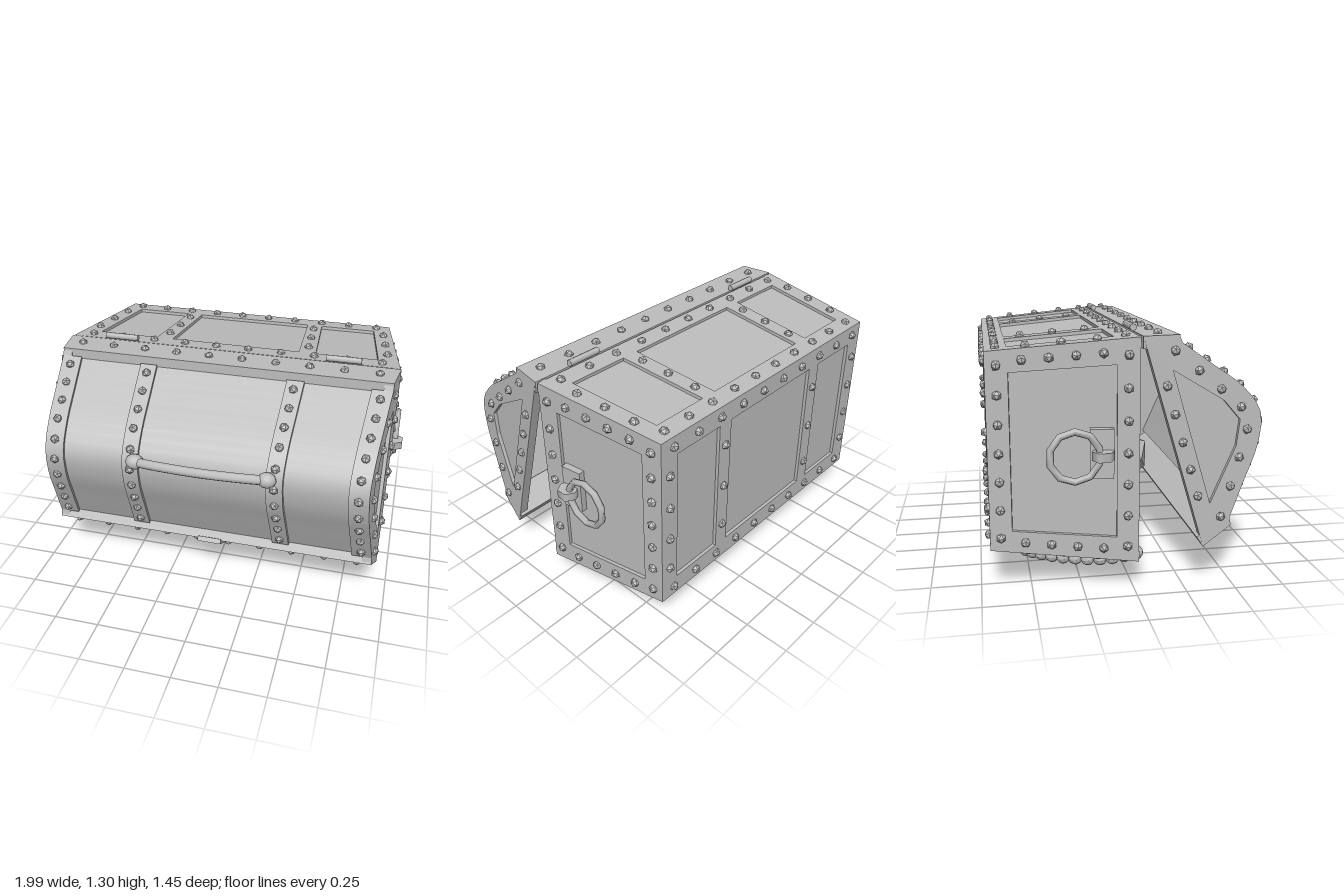
import * as THREE from 'three';
import { mergeGeometries } from 'three/addons/utils/BufferGeometryUtils.js';

const grey = new THREE.MeshStandardMaterial({ color: 0xbdbdbd });
grey.name = 'grey';
const V = (x, y, z) => new THREE.Vector3(x, y, z);

function add(parent, name, geometry, x = 0, y = 0, z = 0) {
  const m = new THREE.Mesh(geometry, grey);
  m.name = name;
  m.position.set(x, y, z);
  parent.add(m);
  return m;
}

// Move every vertex of a geometry through a rule (u, v, w) -> point
function warp(geometry, rule) {
  const p = geometry.attributes.position;
  for (let i = 0; i < p.count; i++) {
    const q = rule(p.getX(i), p.getY(i), p.getZ(i));
    p.setXYZ(i, q.x, q.y, q.z);
  }
  geometry.computeVertexNormals();
  return geometry;
}

// Slab over a rectangle of a (u, v) surface, between two depths along its normal
function slab(map, u0, u1, v0, v1, w0, w1, segments = 1) {
  const g = new THREE.BoxGeometry(u1 - u0, v1 - v0, w1 - w0, 1, segments, 1);
  g.translate((u0 + u1) / 2, (v0 + v1) / 2, (w0 + w1) / 2);
  return warp(g, map);
}

// Flat four-cornered surface: u runs a to b, v runs a to d
function quadMap(a, b, c, d) {
  const n = b.clone().sub(a).cross(d.clone().sub(a)).normalize();
  return (u, v, w) => a.clone().lerp(b, u).lerp(d.clone().lerp(c, u), v).addScaledVector(n, w);
}

// Evenly spaced rivets along lines [u0, v0, u1, v1, count]
function rivets(map, lines) {
  const list = [];
  for (const [u0, v0, u1, v1, n] of lines)
    for (let i = 0; i < n; i++) {
      const t = (i + 0.5) / n;
      const p = map(u0 + (u1 - u0) * t, v0 + (v1 - v0) * t, 0.002);
      list.push(new THREE.IcosahedronGeometry(0.025, 0).rotateY(i * 1.3).translate(p.x, p.y, p.z));
    }
  return mergeGeometries(list);
}

// Framed wall: recessed panel, border strips, optional straps, rivets
function wall(parent, name, map, bu, bv, straps, nu, nv) {
  const g = new THREE.Group();
  g.name = name;
  parent.add(g);
  add(g, 'panel', slab(map, 0.03, 0.97, 0.03, 0.97, -0.06, -0.018));
  const parts = [
    slab(map, 0, 1, 0, bv, -0.05, 0), slab(map, 0, 1, 1 - bv, 1, -0.05, 0),
    slab(map, 0, bu, bv, 1 - bv, -0.05, 0), slab(map, 1 - bu, 1, bv, 1 - bv, -0.05, 0),
  ];
  const a = bu / 2, b = bv / 2;
  const lines = [[0, b, 1, b, nu], [0, 1 - b, 1, 1 - b, nu], [a, bv, a, 1 - bv, nv], [1 - a, bv, 1 - a, 1 - bv, nv]];
  for (const s of straps) {
    parts.push(slab(map, s - 0.026, s + 0.026, bv, 1 - bv, -0.05, 0));
    lines.push([s, bv, s, 1 - bv, 3]);
  }
  add(g, 'frame', mergeGeometries(parts));
  add(g, 'rivets', rivets(map, lines));
  return g;
}

// Tapered body, modelled upright with its rim at y = 0
function makeBody() {
  const body = new THREE.Group();
  body.name = 'body';
  const H = -0.72, bx = 0.83, bz = 0.49, tx = 0.93, tz = 0.555;
  const straps = [0.5 - 0.227, 0.5 + 0.227];
  const long = quadMap(V(-bx, H, bz), V(bx, H, bz), V(tx, 0, tz), V(-tx, 0, tz));
  const side = quadMap(V(bx, H, bz), V(bx, H, -bz), V(tx, 0, -tz), V(tx, 0, tz));
  const base = quadMap(V(-bx, H, -bz), V(bx, H, -bz), V(bx, H, bz), V(-bx, H, bz));
  for (const r of [0, Math.PI]) {
    wall(body, 'longWall', long, 0.06, 0.15, straps, 10, 3).rotation.y = r;
    const end = wall(body, 'endWall', side, 0.11, 0.15, [], 7, 4);
    end.rotation.y = r;
    // Ring handle with its plate and clip
    add(end, 'ringPlate', new THREE.BoxGeometry(0.05, 0.115, 0.245), 0.897, -0.178, 0).rotation.z = -0.14;
    add(end, 'ring', new THREE.TorusGeometry(0.122, 0.018, 6, 10).rotateY(Math.PI / 2), 0.95, -0.315, 0);
    add(end, 'ringClip', new THREE.CylinderGeometry(0.055, 0.055, 0.045, 6).rotateX(Math.PI / 2), 0.945, -0.18, 0);
  }
  wall(body, 'base', base, 0.065, 0.11, straps, 10, 4);
  // Lock plate and staple
  const lock = add(body, 'lockPlate', new THREE.CylinderGeometry(0.1, 0.1, 0.02, 5).rotateX(Math.PI / 2), 0, -0.14, 0.546);
  lock.rotation.x = 0.09;
  add(lock, 'staple', new THREE.TorusGeometry(0.028, 0.008, 5, 8).rotateY(Math.PI / 2), 0, -0.03, 0.015);
  return body;
}

// Arched lid, modelled closed with its rim at y = 0
function makeLid() {
  const lid = new THREE.Group();
  lid.name = 'lid';
  const halfWidth = (y) => 0.935 - 0.15 * y;
  const arch = [[0.46, 0.175], [0.305, 0.3], [0.15, 0.42], [0, 0.475], [-0.15, 0.42], [-0.305, 0.3], [-0.46, 0.175]];
  const curve = new THREE.CatmullRomCurve3(arch.map(([z, y]) => V(0, y, z)));
  const dome = (u, v, w) => {
    const p = curve.getPointAt(THREE.MathUtils.clamp(v, 0, 1));
    const t = curve.getTangentAt(THREE.MathUtils.clamp(v, 0, 1));
    p.addScaledVector(V(1, 0, 0).cross(t), w);
    p.x = u * halfWidth(p.y);
    return p;
  };
  add(lid, 'domePanel', slab(dome, -0.98, 0.98, 0, 1, -0.055, -0.018, 20));
  const bands = [[-1, -0.88], [-0.497, -0.395], [0.395, 0.497], [0.88, 1]];
  add(lid, 'domeBands', mergeGeometries(bands.map(([a, b]) => slab(dome, a, b, 0, 1, -0.05, 0, 20))));
  add(lid, 'domeRivets', rivets(dome, bands.map(([a, b]) => [(a + b) / 2, 0, (a + b) / 2, 1, 10])));

  // Straight rim beams and D-shaped ends, each turned round for the far side
  const rim = quadMap(V(-0.935, 0, 0.55), V(0.935, 0, 0.55), V(0.909, 0.175, 0.5), V(-0.909, 0.175, 0.5));
  const endMap = (u, v, w) => V(halfWidth(v) + w, v, -u);
  const archPoints = curve.getSpacedPoints(16).map((p) => new THREE.Vector2(-p.z, p.y));
  const outline = [new THREE.Vector2(-0.55, 0), new THREE.Vector2(-0.5, 0.17), ...archPoints,
    new THREE.Vector2(0.5, 0.17), new THREE.Vector2(0.55, 0)].reverse();
  const inner = [[-0.35, 0.095], [-0.12, 0.305], [0, 0.36], [0.12, 0.305], [0.35, 0.095]].map(([a, b]) => new THREE.Vector2(a, b));
  const frame = new THREE.Shape(outline);
  frame.holes.push(new THREE.Path(inner));
  const extrude = (shape, depth, z) => warp(
    new THREE.ExtrudeGeometry(shape, { depth, bevelEnabled: false }).translate(0, 0, z), endMap);
  const endLines = [[-0.36, 0.045, 0.36, 0.045, 5], [-0.5, 0.085, -0.24, 0.265, 2], [-0.24, 0.265, 0, 0.42, 2],
    [0, 0.42, 0.24, 0.265, 2], [0.24, 0.265, 0.5, 0.085, 2]];
  for (const r of [0, Math.PI]) {
    const half = new THREE.Group();
    half.name = 'lidRimAndEnd';
    half.rotation.y = r;
    lid.add(half);
    add(half, 'rim', slab(rim, 0, 1, 0, 1, -0.06, 0));
    add(half, 'rimRivets', rivets(rim, [[0, 0.5, 1, 0.5, 10]]));
    add(half, 'endFrame', extrude(frame, 0.05, -0.05));
    add(half, 'endPanel', extrude(new THREE.Shape(inner), 0.03, -0.05));
    add(half, 'endRivets', rivets(endMap, endLines));
  }

  // Carrying handle
  const grip = new THREE.CatmullRomCurve3([V(-0.37, 0.49, 0), V(-0.28, 0.512, 0), V(0, 0.535, 0), V(0.28, 0.512, 0), V(0.37, 0.49, 0)]);
  add(lid, 'handle', new THREE.TubeGeometry(grip, 20, 0.026, 8));
  for (const s of [-1, 1])
    add(lid, 'handleEnd', new THREE.SphereGeometry(0.042, 10, 8).scale(1.2, 1, 1), s * 0.35, 0.492, 0);
  // Latch
  add(lid, 'latch', slab(rim, 0.463, 0.537, 0.05, 1.05, -0.01, 0.018));
  return lid;
}

// Beads strung along a path
function beadChain(parent, name, points) {
  const path = new THREE.CatmullRomCurve3(points.map((p) => V(...p)));
  const n = Math.round(path.getLength() / 0.066);
  const list = path.getSpacedPoints(n).map((p, i) => {
    const g = new THREE.IcosahedronGeometry(0.038, 1).rotateX(i).translate(p.x, p.y, p.z);
    g.computeVertexNormals();
    return g;
  });
  add(parent, name, mergeGeometries(list));
}

export function createModel() {
  const chest = new THREE.Group();
  chest.name = 'treasureChest';

  // The chest lies on its back wall with the lid ajar
  const body = makeBody();
  body.rotation.x = Math.PI / 2;
  body.position.set(0, 0.707, 0.02);
  const lid = makeLid();
  lid.rotation.x = 1.281;
  lid.position.set(0, 0.738, 0.187);
  chest.add(body, lid);

  for (const s of [-1, 1])
    add(chest, 'hinge', new THREE.CylinderGeometry(0.018, 0.018, 0.19, 8).rotateZ(Math.PI / 2), s * 0.63, 1.285, 0.025);

  // Spilled treasure
  beadChain(chest, 'beadNecklace', [
    [-0.81, 0.15, 0.03], [-0.74, 0.1, -0.12], [-0.66, 0.09, -0.33], [-0.52, 0.075, -0.49], [-0.38, 0.045, -0.51],
    [-0.25, 0.045, -0.4], [-0.16, 0.065, -0.2], [-0.1, 0.1, -0.03], [-0.04, 0.2, 0.12], [-0.02, 0.36, 0.165],
    [-0.04, 0.52, 0.17], [-0.06, 0.68, 0.11], [-0.08, 0.8, 0.075], [-0.1, 0.92, 0.11],
  ]);
  const bar = add(chest, 'bar', new THREE.BoxGeometry(0.7, 0.2, 0.11), 0.19, 0.305, 0.1);
  bar.rotation.set(0.15, 0, -0.5);
  const crystal = add(chest, 'crystal', new THREE.OctahedronGeometry(0.2, 0).scale(0.6, 1, 0.5), 0.25, 0.53, 0.06);
  crystal.rotation.z = 0.3;
  add(chest, 'gem', new THREE.IcosahedronGeometry(0.14, 0), -0.25, 0.51, 0.08);
  add(chest, 'shard', new THREE.ConeGeometry(0.05, 0.24, 4), 0.3, 1.09, 0.01);
  return chest;
}
